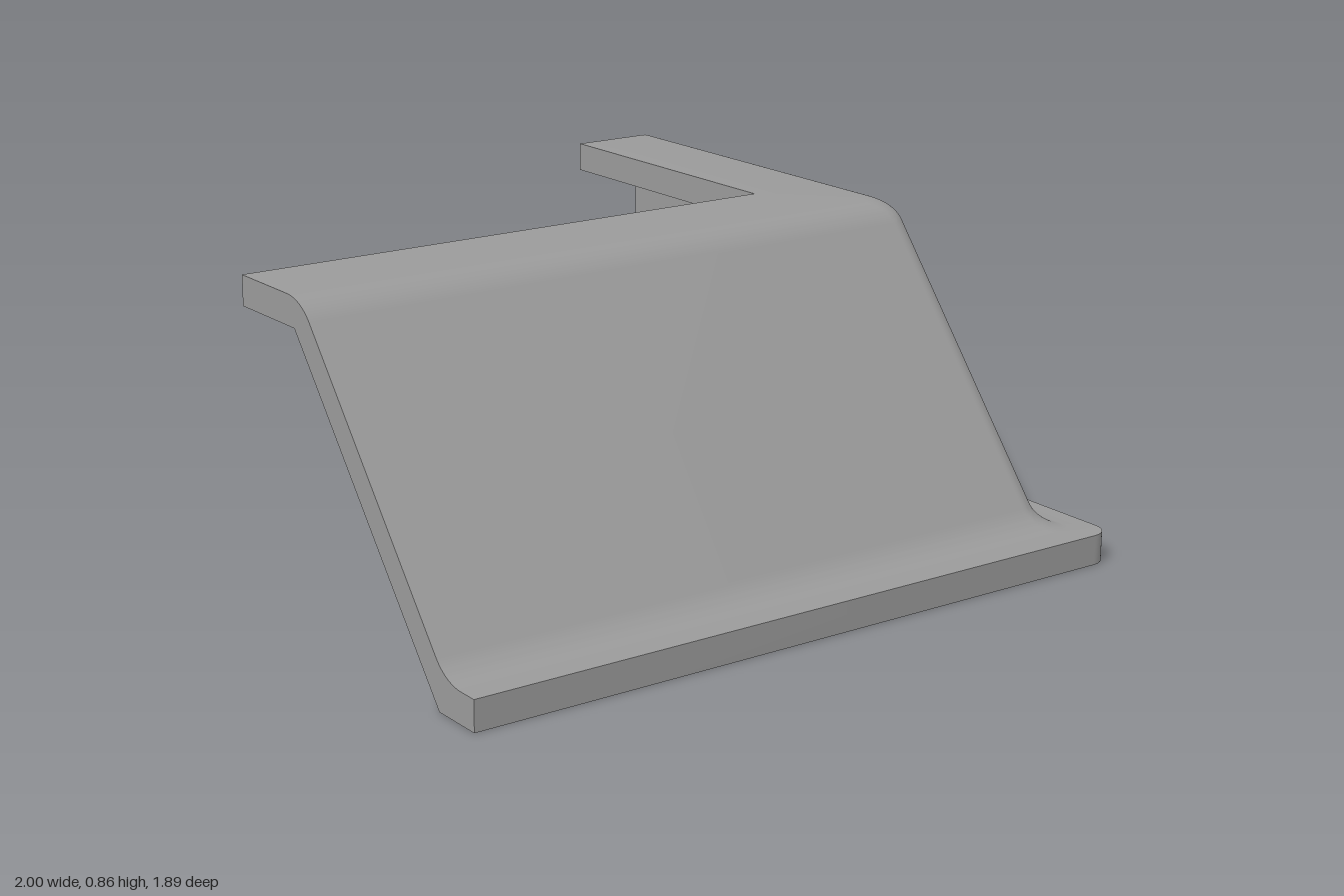
import * as THREE from 'three';
import { toCreasedNormals } from 'three/addons/utils/BufferGeometryUtils.js';

const LEFT = -1, BACK = -0.945;      // cut ends of the two walls
const TOP = 0.855, BASE = 0.082;     // top of the upper lip, top of the foot flange
const WALL = 0.888;                  // outer face of the side wall
const FILLET = 0.05, STEPS = 12, CORNER = 0.06;
const SLOPE = Math.atan2(1, 0.818);  // lean of the front wall
const BIG = FILLET / (1 - Math.cos(SLOPE)); // front fillet radius of the same height

// Section points: x on the side wall, z on the front wall, shared height y,
// and r, the rounding where the two walls meet.
function section() {
  const pts = [];
  const add = (x, z, y, r) => pts.push({ x, z, y, r });
  const reach = (h) => BIG * Math.sin(Math.acos(1 - h / BIG));
  const shift = BIG * Math.tan(SLOPE / 2);

  // foot flange
  add(1, 0.945, 0, CORNER);
  add(1, 0.945, BASE, CORNER);
  // concave fillet up to the wall
  for (let i = STEPS; i >= 0; i--) {
    const a = (i / STEPS) * Math.PI / 2, h = FILLET * (1 - Math.sin(a));
    add(WALL + FILLET * (1 - Math.cos(a)), 0.825 + shift - reach(h), BASE + h, CORNER);
  }
  // convex fillet onto the upper lip
  for (let i = 0; i <= STEPS; i++) {
    const a = (i / STEPS) * Math.PI / 2, h = FILLET * (1 - Math.sin(a));
    add(WALL - FILLET * (1 - Math.cos(a)), 0.195 - shift + reach(h), TOP - h, CORNER);
  }
  // lip edge, underside and inner wall
  add(0.603, -0.096, TOP, 0);
  add(0.603, -0.096, TOP - 0.08, 0);
  add(0.81, 0.162, TOP - 0.08, 0);
  add(0.81, 0.796, 0, 0);
  return pts;
}

// Sweep the section along the front wall, round the corner and back along the side wall
function sweep(pts) {
  const rows = pts.map((p) => {
    const row = [new THREE.Vector3(LEFT, p.y, p.z)];
    for (let i = 0; i <= STEPS; i++) {
      const a = (i / STEPS) * Math.PI / 2;
      row.push(new THREE.Vector3(
        p.x - p.r * (1 - Math.sin(a)), p.y, p.z - p.r * (1 - Math.cos(a))));
    }
    row.push(new THREE.Vector3(p.x, p.y, BACK));
    return row;
  });
  const pos = [];
  const tri = (a, b, c) => {
    if (new THREE.Triangle(a, b, c).getArea() < 1e-8) return;
    for (const v of [a, b, c]) pos.push(v.x, v.y, v.z);
  };
  rows.forEach((row, j) => {
    const next = rows[(j + 1) % rows.length];
    for (let i = 0; i + 1 < row.length; i++) {
      tri(row[i], row[i + 1], next[i + 1]);
      tri(row[i], next[i + 1], next[i]);
    }
  });
  const geo = new THREE.BufferGeometry();
  geo.setAttribute('position', new THREE.Float32BufferAttribute(pos, 3));
  return toCreasedNormals(geo, 0.55);
}

export function createModel() {
  const group = new THREE.Group();
  group.name = 'cornerFlashing';
  const material = new THREE.MeshStandardMaterial({ color: 0x9a9a9a });
  const add = (name, geo) => {
    const mesh = new THREE.Mesh(geo, material);
    mesh.name = name;
    group.add(mesh);
  };
  const pts = section();
  const face = (fn) => new THREE.ShapeGeometry(
    new THREE.Shape(pts.map((p) => new THREE.Vector2(fn(p), p.y))));

  add('flangedWalls', sweep(pts));
  add('frontWallEnd', face((p) => p.z).rotateY(-Math.PI / 2).translate(LEFT, 0, 0));
  add('sideWallEnd', face((p) => -p.x).rotateY(Math.PI).translate(0, 0, BACK));
  return group;
}
